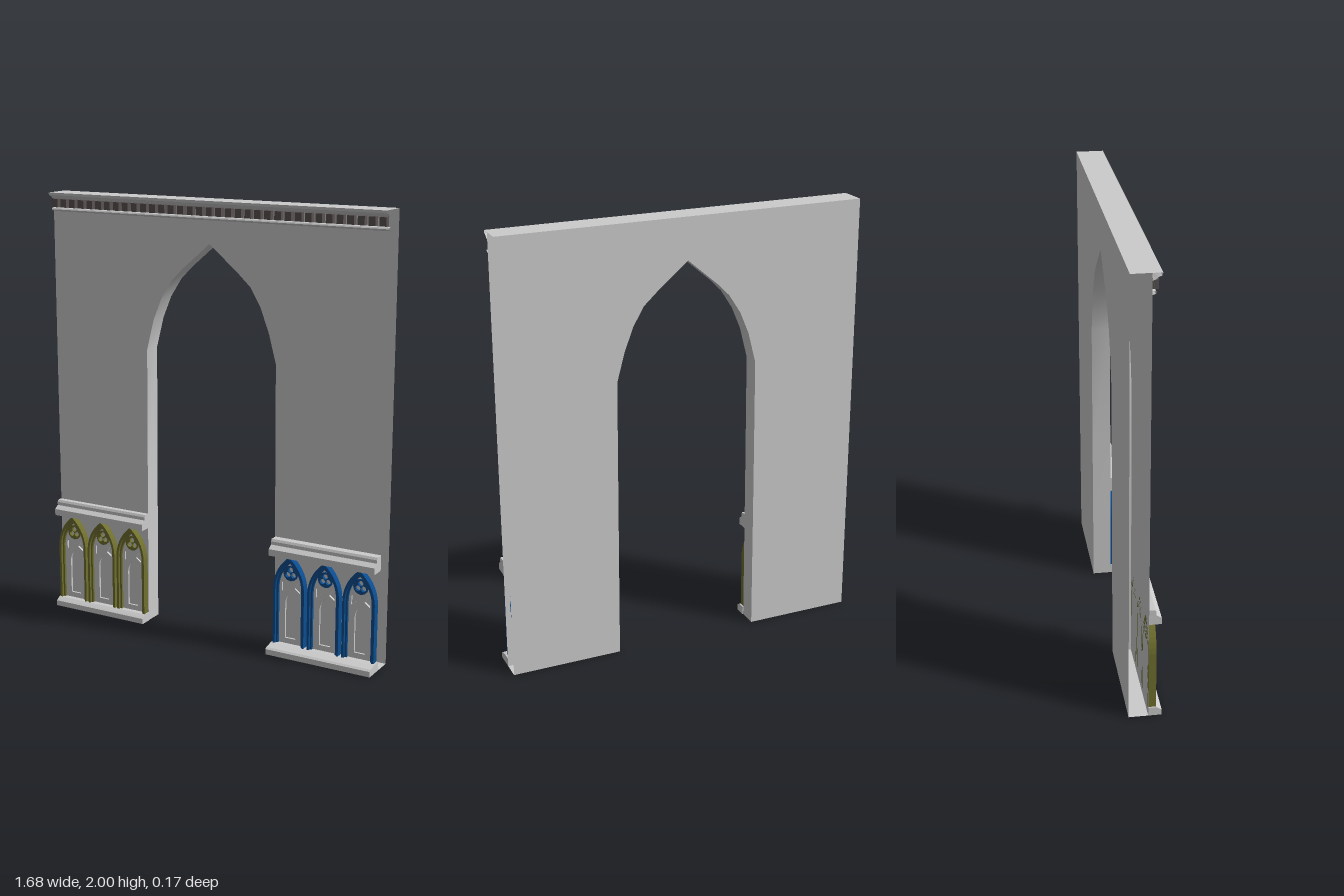
import * as THREE from 'three';
import { toCreasedNormals } from 'three/addons/utils/BufferGeometryUtils.js';

const grey = new THREE.MeshStandardMaterial({ color: 0xcccccc, flatShading: true });
const openGrey = new THREE.MeshStandardMaterial({ color: 0xcccccc, side: THREE.DoubleSide });
const dark = new THREE.MeshStandardMaterial({ color: 0x5a5252, flatShading: true });
const blue = new THREE.MeshStandardMaterial({ color: 0x0b4d90, flatShading: true });
const olive = new THREE.MeshStandardMaterial({ color: 0x70702f, flatShading: true });
const HALF = 0.84, BACK = -0.085;

const v2 = (list) => list.map(([x, y]) => new THREE.Vector2(x, y));

function add(group, name, geometry, material) {
  const mesh = new THREE.Mesh(geometry, material);
  mesh.name = name;
  group.add(mesh);
  return mesh;
}

function extrude(shape, depth, z = 0) {
  const geo = new THREE.ExtrudeGeometry(shape, { depth, bevelEnabled: false, curveSegments: 6 });
  return geo.translate(0, 0, z);
}

// Drops the faces lying on the two outer ends, where the wall section is open
function openEnds(geometry) {
  const src = geometry.attributes.position;
  const kept = [];
  for (let i = 0; i < src.count; i += 3) {
    const ends = [0, 1, 2].map((k) => src.getX(i + k));
    if (ends.every((x) => x > HALF - 1e-4) || ends.every((x) => x < -HALF + 1e-4)) continue;
    for (let k = 0; k < 3; k++) kept.push(src.getX(i + k), src.getY(i + k), src.getZ(i + k));
  }
  const out = new THREE.BufferGeometry();
  out.setAttribute('position', new THREE.Float32BufferAttribute(kept, 3));
  return toCreasedNormals(out, 0.5);
}

// Runs a (z, y) moulding profile along x from x0 to x1
function moulding(profile, x0, x1) {
  const geo = extrude(new THREE.Shape(v2(profile)), x1 - x0);
  return geo.rotateY(-Math.PI / 2).translate(x1, 0, 0);
}

// Pointed arch line from bottom right over the apex to bottom left
function archLine(hw, y0, spring, apex) {
  const shoulder = spring + (apex - spring) * 0.6;
  const right = new THREE.QuadraticBezierCurve(
    new THREE.Vector2(hw, spring), new THREE.Vector2(hw * 0.93, shoulder), new THREE.Vector2(0, apex)
  ).getPoints(7);
  const left = right.slice(0, -1).reverse().map((p) => new THREE.Vector2(-p.x, p.y));
  return [new THREE.Vector2(hw, y0), ...right, ...left, new THREE.Vector2(-hw, y0)];
}

// Arched band, open at the foot
function archBand(outer, inner, y0, spring, apexOuter, apexInner, depth) {
  const line = archLine(outer, y0, spring, apexOuter);
  return extrude(new THREE.Shape([...line, ...archLine(inner, y0, spring, apexInner).reverse()]), depth);
}

function circlePath(x, y, r) {
  const path = new THREE.Path();
  path.absarc(x, y, r, 0, Math.PI * 2, true);
  return path;
}

// One blind window: coloured frame, grey tracery plate and a pierced rosette
function blindWindow(material) {
  const bay = new THREE.Group();
  bay.name = 'blindWindow';
  add(bay, 'outerFrame', archBand(0.077, 0.066, 0.035, 0.31, 0.456, 0.438, 0.034), material);
  add(bay, 'innerFrame', archBand(0.067, 0.057, 0.035, 0.31, 0.439, 0.424, 0.022), material);

  const plate = new THREE.Shape(archLine(0.058, 0.035, 0.31, 0.425));
  plate.holes.push(new THREE.Path(archLine(0.027, 0.065, 0.23, 0.285).reverse()));
  plate.holes.push(circlePath(0, 0.375, 0.03));
  for (const s of [-1, 1]) {
    const eye = v2([[s * 0.018, 0.305], [s * 0.045, 0.285], [s * 0.045, 0.325], [s * 0.036, 0.335]]);
    plate.holes.push(new THREE.Path(eye));
  }
  add(bay, 'traceryPlate', extrude(plate, 0.01), grey);

  const rosette = new THREE.Shape();
  rosette.absarc(0, 0.375, 0.036, 0, Math.PI * 2, false);
  for (let i = 0; i < 3; i++) {
    const a = (i * Math.PI * 2) / 3 + Math.PI / 2;
    rosette.holes.push(circlePath(Math.cos(a) * 0.0155, 0.375 + Math.sin(a) * 0.0155, 0.0125));
  }
  add(bay, 'rosette', extrude(rosette, 0.015), material);
  return bay;
}

// Plinth, sill and three blind windows in front of one pier
function pierDado(name, x0, x1, material, plinthZ, sillZ) {
  const dado = new THREE.Group();
  dado.name = name;
  const plinth = [[0, 0], [plinthZ, 0], [plinthZ, 0.025], [plinthZ - 0.01, 0.032], [0.035, 0.04], [0, 0.04]];
  const sill = [[0, 0.46], [sillZ, 0.46], [sillZ, 0.49], [sillZ - 0.022, 0.505],
    [sillZ - 0.022, 0.52], [sillZ - 0.028, 0.53], [0, 0.53]];
  add(dado, 'plinth', moulding(plinth, x0, x1), grey);
  add(dado, 'sill', moulding(sill, x0, x1), grey);
  const pitch = (x1 - x0) / 3;
  for (let i = 0; i < 3; i++) {
    const bay = blindWindow(material);
    bay.position.x = x0 + pitch * (i + 0.5);
    dado.add(bay);
  }
  return dado;
}

export function createModel() {
  const model = new THREE.Group();
  model.name = 'archedWall';

  // Wall pierced by the large pointed arch
  const outline = v2([
    [-HALF, 0], [-0.345, 0], [-0.342, 0.7], [-0.338, 1.31], [-0.302, 1.45], [-0.26, 1.55],
    [-0.205, 1.635], [-0.15, 1.69], [-0.01, 1.81], [0.135, 1.69], [0.195, 1.635], [0.245, 1.55],
    [0.287, 1.44], [0.322, 1.31], [0.326, 0.7], [0.33, 0], [HALF, 0], [HALF, 2], [-HALF, 2],
  ]);
  add(model, 'wall', openEnds(extrude(new THREE.Shape(outline), -BACK, BACK)), openGrey);

  // Cornice: lower string course, crown moulding and a row of dentils
  const lower = [[0, 1.913], [0.012, 1.917], [0.016, 1.922], [0.012, 1.928], [0, 1.93]];
  const crown = [[0, 1.97], [0.012, 1.973], [0.022, 1.982], [0.036, 1.988], [0.04, 2], [0, 2]];
  add(model, 'stringCourse', openEnds(moulding(lower, -HALF, HALF)), openGrey);
  add(model, 'crownMoulding', openEnds(moulding(crown, -HALF, HALF)), openGrey);
  const dentils = new THREE.Group();
  dentils.name = 'dentils';
  const count = 35, pitch = (2 * HALF) / count;
  const block = new THREE.BoxGeometry(pitch * 0.65, 0.038, 0.026);
  for (let i = 0; i < count; i++) {
    add(dentils, 'dentil', block, dark).position.set(-HALF + pitch * (i + 0.5), 1.952, 0.013);
  }
  model.add(dentils);

  // Decorated lower part of each pier
  model.add(pierDado('leftPierDado', 0.33, HALF, blue, 0.087, 0.065));
  model.add(pierDado('rightPierDado', -HALF, -0.342, olive, 0.058, 0.053));
  return model;
}
